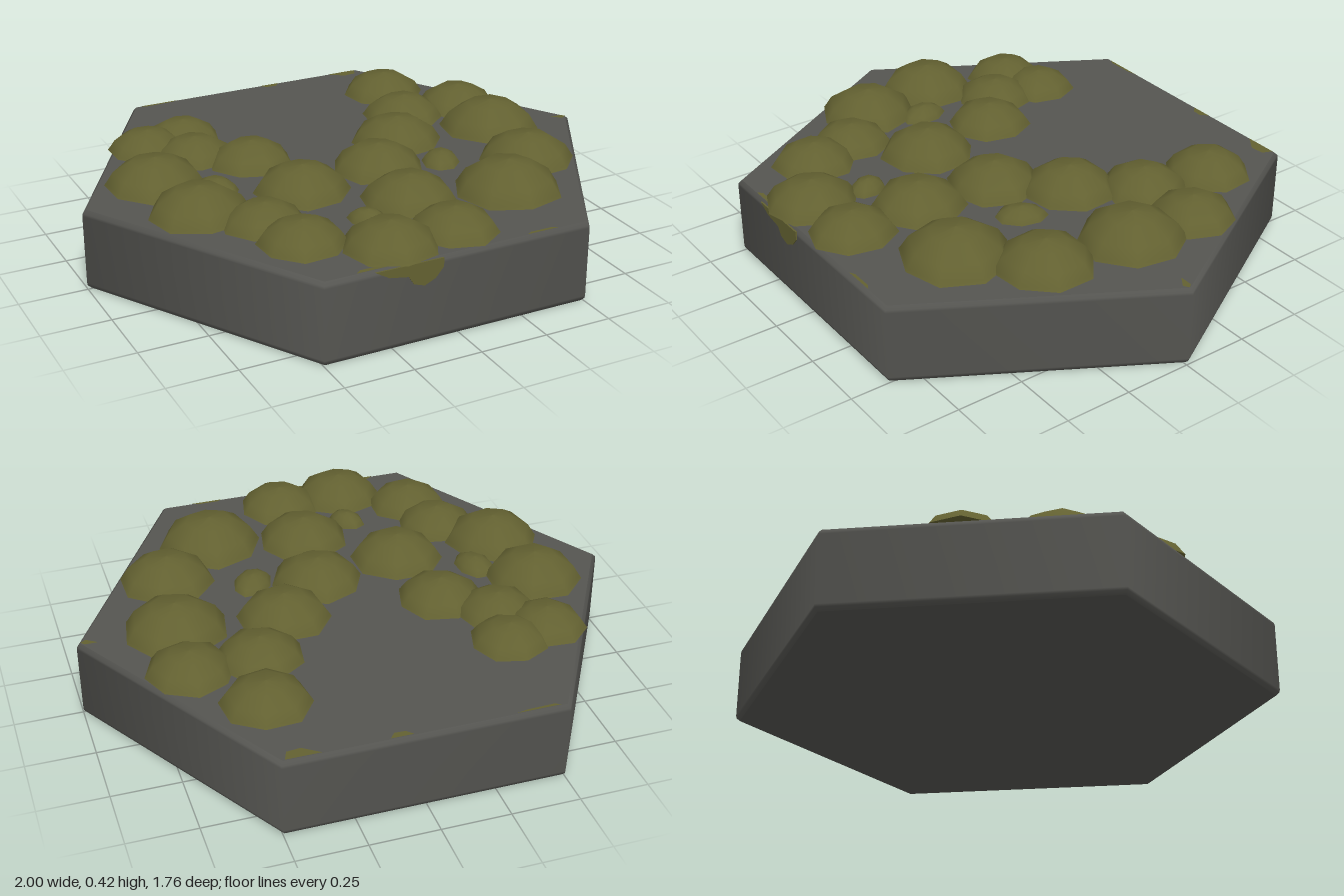
import * as THREE from 'three';

const BASE_Z = -0.007;
const TOP = 0.3;

export function createModel() {
  const model = new THREE.Group();
  model.name = 'hexStoneTile';
  const slate = new THREE.MeshStandardMaterial({ name: 'slate grey', color: 0x555551 });
  const moss = new THREE.MeshStandardMaterial({ name: 'moss olive', color: 0x636131, side: THREE.DoubleSide });

  function add(name, geometry, material, parent = model) {
    const mesh = new THREE.Mesh(geometry, material);
    mesh.name = name;
    parent.add(mesh);
    return mesh;
  }

  // Bevelled six-sided slab: smooth side wall with flat caps
  const base = new THREE.Group();
  base.name = 'base';
  base.position.z = BASE_Z;
  model.add(base);
  const wall = [[0.985, 0], [0.998, 0.012], [1, 0.022], [1, 0.278], [0.998, 0.288], [0.985, TOP]]
    .map(([r, y]) => new THREE.Vector2(r, y));
  add('baseWall', new THREE.LatheGeometry(wall, 6, Math.PI / 2), slate, base);
  const cap = new THREE.CircleGeometry(0.985, 6);
  const topCap = add('baseTop', cap, slate, base);
  topCap.rotation.x = -Math.PI / 2;
  topCap.position.y = TOP;
  add('baseBottom', cap, slate, base).rotation.x = Math.PI / 2;

  // Faceted dome with a slightly irregular outline
  function dome(rx, rz, height, seed) {
    const profile = [[1, 0], [0.96, 0.09], [0.82, 0.47], [0.46, 0.87], [0, 1]]
      .map(([r, y]) => new THREE.Vector2(r, y));
    const g = new THREE.LatheGeometry(profile, 8, seed * 1.3);
    const p = g.attributes.position;
    for (let i = 0; i < p.count; i++) {
      const x = p.getX(i), z = p.getZ(i);
      const a = Math.atan2(z, x);
      const wobble = 1 + 0.03 * Math.sin(3 * a + seed * 2.1);
      p.setXYZ(i, x * rx * wobble, p.getY(i) * height, z * rz * wobble);
    }
    const normals = g.attributes.normal;
    for (let i = 0; i < normals.count; i++) {
      const n = new THREE.Vector3().fromBufferAttribute(normals, i);
      n.set(n.x / rx, n.y / height, n.z / rz).normalize();
      normals.setXYZ(i, n.x, n.y, n.z);
    }
    return g;
  }

  // Large stones: x, z, radius
  const stones = [
    [0.46, -0.55, 0.16], [0.41, -0.29, 0.157], [0.66, -0.3, 0.157], [0.26, -0.07, 0.172],
    [0.65, -0.035, 0.19], [0.075, 0.13, 0.17], [-0.26, 0.195, 0.175], [0.04, 0.43, 0.172],
    [0.39, 0.51, 0.195], [0.605, 0.3, 0.177], [0.055, 0.71, 0.157], [-0.195, 0.725, 0.167],
    [-0.44, 0.575, 0.155], [-0.49, 0.385, 0.15], [-0.655, 0.21, 0.18], [-0.7, -0.09, 0.18],
    [-0.315, -0.125, 0.157], [-0.48, -0.27, 0.148], [-0.61, -0.41, 0.147], [-0.45, -0.46, 0.142],
  ];
  const cluster = new THREE.Group();
  cluster.name = 'stones';
  model.add(cluster);
  stones.forEach(([x, z, r], i) => {
    const height = 0.08 + (r - 0.15) * 0.8;
    add('stone', dome(r, r, height, i + 1), moss, cluster).position.set(x, 0.308, z);
  });

  // Pebbles between the stones: x, z, half width, half depth, turn
  [[-0.52, 0.045, 0.07, 0.095, 0.2], [0.31, 0.18, 0.07, 0.095, -0.5], [-0.165, 0.515, 0.06, 0.078, 0.5]]
    .forEach(([x, z, rx, rz, turn], i) => {
      const pebble = add('pebble', dome(rx, rz, 0.042, i + 5), moss, cluster);
      pebble.position.set(x, 0.306, z);
      pebble.rotation.y = turn;
    });

  // Moss hanging over the front edge
  const drip = new THREE.Shape([[-0.32, 0.297], [-0.27, 0.268], [-0.2, 0.256], [-0.18, 0.225],
    [-0.14, 0.212], [-0.1, 0.23], [-0.07, 0.265], [-0.07, 0.297]].map(([x, y]) => new THREE.Vector2(x, y)));
  add('frontMoss', new THREE.ExtrudeGeometry(drip, { depth: 0.006, bevelEnabled: false }), moss)
    .position.z = 0.857;

  // Thin moss flecks along the rim
  const flecks = [
    [[-0.47, -0.858], [-0.31, -0.858], [-0.35, -0.85], [-0.45, -0.847]],
    [[0.05, -0.858], [0.13, -0.858], [0.11, -0.833], [0.07, -0.835]],
    [[0.36, -0.858], [0.485, -0.858], [0.47, -0.82], [0.42, -0.815]],
    [[0.925, -0.02], [0.972, -0.02], [0.985, -0.005], [0.965, 0.008]],
    [[0.28, 0.835], [0.36, 0.835], [0.38, 0.846], [0.26, 0.846]],
    [[-0.36, 0.83], [-0.28, 0.83], [-0.26, 0.846], [-0.38, 0.846]],
  ];
  for (const corners of flecks) {
    const shape = new THREE.Shape(corners.map(([x, z]) => new THREE.Vector2(x, -z)));
    const fleck = add('rimMoss', new THREE.ShapeGeometry(shape), moss);
    fleck.rotation.x = -Math.PI / 2;
    fleck.position.y = TOP + 0.002;
  }
  return model;
}
